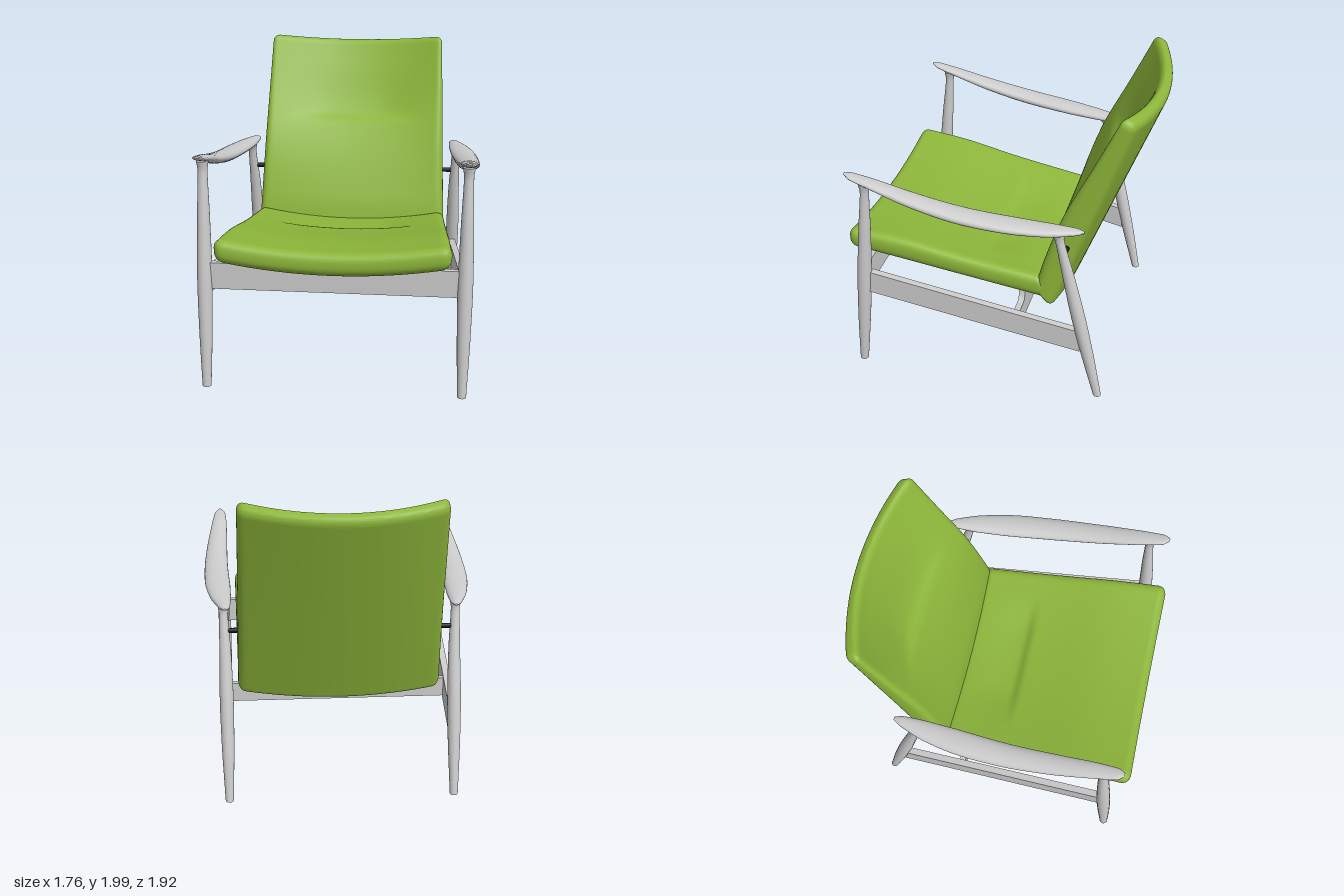
import * as THREE from 'three';
import { toCreasedNormals } from 'three/addons/utils/BufferGeometryUtils.js';

const { lerp, clamp, smoothstep } = THREE.MathUtils;
const wood = new THREE.MeshStandardMaterial({ color: 0xcccccc });
const fabric = new THREE.MeshStandardMaterial({ color: 0x8db63a });
const black = new THREE.MeshStandardMaterial({ color: 0x151515 });

function mesh(name, geometry, material) {
  const m = new THREE.Mesh(geometry, material);
  m.name = name;
  return m;
}

// Moves every vertex by a rule, then smooths all but the sharp edges.
function reshape(geometry, rule, crease = 1) {
  const pos = geometry.attributes.position;
  const p = new THREE.Vector3();
  for (let i = 0; i < pos.count; i++) {
    rule(p.fromBufferAttribute(pos, i));
    pos.setXYZ(i, p.x, p.y, p.z);
  }
  return toCreasedNormals(geometry, crease);
}

// Round bar through stations [x, y, z, radiusA, radiusB], sections across y or z.
function loft(stations, axis) {
  const path = new THREE.CatmullRomCurve3(stations.map(s => new THREE.Vector3(s[0], s[1], s[2])));
  const size = new THREE.CatmullRomCurve3(stations.map(s => new THREE.Vector3(s[3], s[4], 0)));
  return reshape(new THREE.CylinderGeometry(1, 1, 1, 24, 40), p => {
    const t = clamp(p.y + 0.5, 0, 1);
    const c = path.getPoint(t), r = size.getPoint(t);
    if (axis === 'y') p.set(c.x + r.x * p.x, c.y, c.z + r.y * p.z);
    else p.set(c.x + r.x * p.x, c.y - r.y * p.z, c.z);
  });
}

// Rounded block bent by a rule; the rule gets x in -1..1, thickness t and length v in 0..1.
function cushion(hx, ht, hv, radius, bend) {
  const half = new THREE.Vector3(hx, ht, hv);
  const inner = half.clone().subScalar(radius);
  const innerMin = inner.clone().negate();
  const q = new THREE.Vector3();
  return reshape(new THREE.BoxGeometry(2, 2, 2, 40, 12, 88), p => {
    p.set(Math.sin(p.x * Math.PI / 2), Math.sin(p.y * Math.PI / 2), Math.sin(p.z * Math.PI / 2)).multiply(half);
    q.copy(p).clamp(innerMin, inner);
    p.sub(q).setLength(radius).add(q);
    bend(p, p.x / hx, (p.y / ht + 1) / 2, (p.z / hv + 1) / 2);
  });
}

// Cross rail with filleted shoulders rising to a dished top.
function crossRail(half, bottom, shoulder, top, dip, z) {
  const s = new THREE.Shape();
  s.moveTo(-half, bottom);
  s.lineTo(half, bottom);
  s.lineTo(half, shoulder);
  s.lineTo(0.64, shoulder);
  s.quadraticCurveTo(0.59, shoulder, 0.585, top);
  s.quadraticCurveTo(0, dip, -0.585, top);
  s.quadraticCurveTo(-0.59, shoulder, -0.64, shoulder);
  s.lineTo(-half, shoulder);
  const g = new THREE.ExtrudeGeometry(s, { depth: 0.04, bevelEnabled: false, curveSegments: 20 });
  g.translate(0, 0, z - 0.02);
  return toCreasedNormals(g, 0.6);
}

function seatGeometry() {
  return cushion(0.7, 0.075, 0.67, 0.06, (p, x, t, v) => {
    const z = lerp(lerp(-0.42, 0.957, v), lerp(-0.34, 0.953, v), t);
    let y = lerp(lerp(0.652, 0.86, v), lerp(0.825, 1.0, v), t);
    y -= 0.07 * (1 - x * x);
    // fuller padding towards the front
    y += 0.022 * t * Math.exp(-(((z - 0.6) / 0.3) ** 2));
    // pressed-in fold across the middle of the seat
    const fold = (1 - smoothstep(z, 0.05, 0.11)) * smoothstep(z, -0.3, 0.06);
    y -= 0.028 * t * fold * (1 - smoothstep(Math.abs(x), 0.3, 0.75));
    p.set(x * lerp(0.66, 0.72, v), y, z);
  });
}

function backGeometry() {
  const front = new THREE.CatmullRomCurve3([[0.72, -0.285], [0.95, -0.34], [1.29, -0.445], [1.65, -0.605], [2.015, -0.768]]
    .map(([y, z]) => new THREE.Vector3(0, y, z)));
  return cushion(0.64, 0.065, 0.7, 0.045, (p, x, t, v) => {
    const f = front.getPoint(clamp(v, 0, 1));
    const arch = 1 - x * x;
    // front side: padded flat at the bottom, hollow towards the top
    let hollow = 0.14 * smoothstep(v, 0.1, 0.95) * arch;
    // headrest fold
    const fold = smoothstep(v, 0.59, 0.65) * (1 - smoothstep(v, 0.64, 0.9));
    hollow += 0.025 * fold * (1 - smoothstep(Math.abs(x), 0.3, 0.85));
    const bow = lerp(0.085, 0.125, v) * arch;
    const y = lerp(lerp(0.59, 1.967, v) - 0.343 * bow, f.y - 0.343 * hollow, t);
    const z = lerp(lerp(-0.388, -0.855, v) - 0.939 * bow, f.z - 0.939 * hollow, t);
    // length runs upwards here, so x is mirrored to keep faces outward
    p.set(-x * lerp(0.665, 0.615, v), y, z);
  });
}

export function createModel() {
  const chair = new THREE.Group();
  chair.name = 'armchair';

  chair.add(mesh('seatCushion', seatGeometry(), fabric));
  chair.add(mesh('backCushion', backGeometry(), fabric));
  chair.add(mesh('frontRail', crossRail(0.77, 0.64, 0.81, 0.86, 0.7, 0.81), wood));
  chair.add(mesh('rearRail', crossRail(0.735, 0.45, 0.58, 0.675, 0.55, -0.19), wood));

  for (const [name, s] of [['left', 1], ['right', -1]]) {
    const side = new THREE.Group();
    side.name = name + 'Side';

    side.add(mesh('frontLeg', loft([
      [s * 0.803, 0, 0.88, 0.028, 0.028],
      [s * 0.803, 0.35, 0.849, 0.041, 0.041],
      [s * 0.803, 0.7, 0.817, 0.047, 0.047],
      [s * 0.803, 1.1, 0.782, 0.039, 0.039],
      [s * 0.803, 1.37, 0.758, 0.03, 0.028],
      [s * 0.803, 1.44, 0.752, 0.038, 0.042],
    ], 'y'), wood));

    side.add(mesh('rearLeg', loft([
      [s * 0.73, 0, -0.742, 0.026, 0.026],
      [s * 0.73, 0.35, -0.66, 0.04, 0.041],
      [s * 0.73, 0.62, -0.597, 0.044, 0.045],
      [s * 0.73, 0.95, -0.52, 0.037, 0.037],
      [s * 0.735, 1.19, -0.465, 0.028, 0.028],
      [s * 0.735, 1.265, -0.448, 0.04, 0.05],
    ], 'y'), wood));

    side.add(mesh('armrest', loft([
      [s * 0.715, 1.27, -0.61, 0.01, 0.006],
      [s * 0.722, 1.27, -0.56, 0.034, 0.018],
      [s * 0.751, 1.273, -0.4, 0.065, 0.029],
      [s * 0.783, 1.287, -0.15, 0.081, 0.036],
      [s * 0.804, 1.317, 0.15, 0.077, 0.04],
      [s * 0.808, 1.375, 0.45, 0.067, 0.035],
      [s * 0.805, 1.442, 0.7, 0.052, 0.024],
      [s * 0.805, 1.478, 0.84, 0.037, 0.015],
      [s * 0.805, 1.492, 0.88, 0.012, 0.007],
    ], 'z'), wood));

    // sloping plank from front leg to rear leg
    side.add(mesh('sideRail', reshape(new THREE.BoxGeometry(0.045, 0.16, 1), p => {
      const v = p.z + 0.5;
      p.set(p.x + s * lerp(0.727, 0.795, v), p.y + lerp(0.44, 0.685, v), lerp(-0.615, 0.8, v));
    }, 0.5), wood));

    const pin = mesh('backPin', new THREE.CylinderGeometry(0.016, 0.016, 0.13, 16), black);
    pin.rotation.z = Math.PI / 2;
    pin.position.set(s * 0.665, 1.085, -0.49);
    side.add(pin);

    chair.add(side);
  }
  return chair;
}
